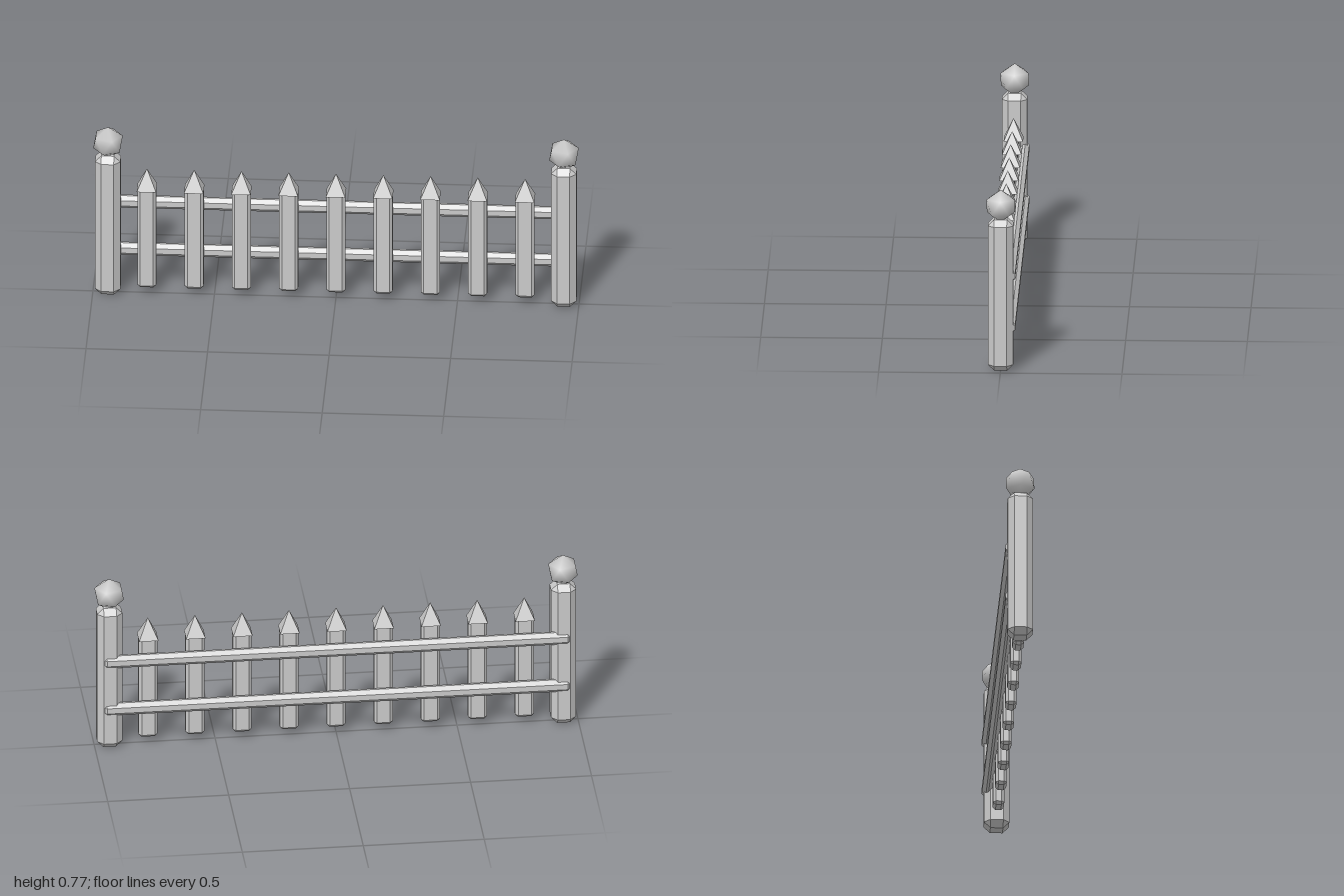
import * as THREE from 'three';
import { ConvexGeometry } from 'three/addons/geometries/ConvexGeometry.js';

const material = new THREE.MeshStandardMaterial({ color: 0xcccccc });

// Box of the given half sizes with every edge and corner cut by c
function chamferedBox(hx, hy, hz, c) {
  const points = [];
  for (const sx of [-1, 1]) for (const sy of [-1, 1]) for (const sz of [-1, 1]) {
    points.push(
      new THREE.Vector3(sx * hx, sy * (hy - c), sz * (hz - c)),
      new THREE.Vector3(sx * (hx - c), sy * hy, sz * (hz - c)),
      new THREE.Vector3(sx * (hx - c), sy * (hy - c), sz * hz)
    );
  }
  return new ConvexGeometry(points);
}

// Twenty-sided ball standing on a vertex, shaded smooth
function lowPolyBall(radius) {
  const geometry = new THREE.IcosahedronGeometry(radius, 0);
  geometry.rotateZ(-Math.atan(2 / (1 + Math.sqrt(5))));
  geometry.setAttribute('normal', geometry.attributes.position.clone());
  geometry.normalizeNormals();
  return geometry;
}

export function createModel() {
  const model = new THREE.Group();
  model.name = 'picketFence';

  function add(parent, name, geometry, x, y, z) {
    const mesh = new THREE.Mesh(geometry, material);
    mesh.name = name;
    mesh.position.set(x, y, z);
    parent.add(mesh);
  }

  // End posts with ball finials
  const postGeometry = chamferedBox(0.052, 0.3225, 0.052, 0.026);
  const ballGeometry = lowPolyBall(0.068);
  for (const side of [-1, 1]) {
    const post = new THREE.Group();
    post.name = side > 0 ? 'leftPost' : 'rightPost';
    post.position.x = side * 0.938;
    add(post, 'postBody', postGeometry, 0, 0.3225, 0);
    add(post, 'ballFinial', ballGeometry, 0, 0.698, 0);
    model.add(post);
  }

  // Two rails running along the back
  const railGeometry = chamferedBox(0.968, 0.028, 0.021, 0.016);
  add(model, 'lowerRail', railGeometry, 0, 0.182, -0.039);
  add(model, 'upperRail', railGeometry, 0, 0.402, -0.039);

  // Pickets with pyramid tips
  const picketGeometry = chamferedBox(0.039, 0.233, 0.023, 0.012);
  const tipGeometry = new THREE.ConeGeometry(0.04 * Math.SQRT2, 0.09, 4, 1).toNonIndexed();
  tipGeometry.rotateY(Math.PI / 4);
  tipGeometry.computeVertexNormals();
  for (let i = -4; i <= 4; i++) {
    const picket = new THREE.Group();
    picket.name = 'picket' + (i + 5);
    picket.position.x = i * 0.1945;
    add(picket, 'picketBody', picketGeometry, 0, 0.263, 0);
    add(picket, 'picketTip', tipGeometry, 0, 0.533, 0);
    model.add(picket);
  }

  return model;
}
